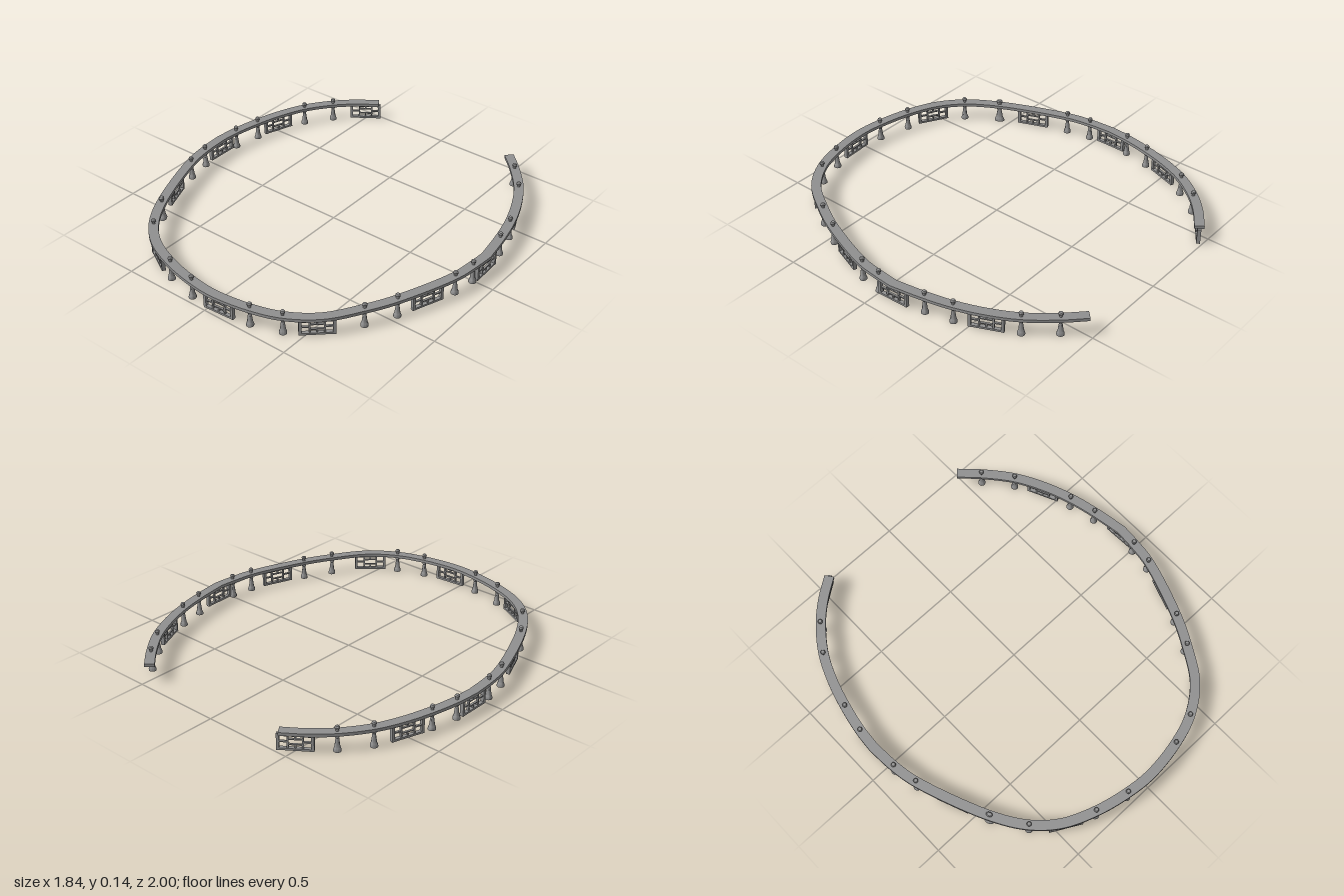
import * as THREE from 'three';
import { toCreasedNormals } from 'three/addons/utils/BufferGeometryUtils.js';

const material = new THREE.MeshStandardMaterial({ color: 0x909090 });

// Post positions [x, z], in order along the handrail
const POSTS = [
  [-0.645, -0.805], [-0.745, -0.667], [-0.853, -0.37], [-0.883, -0.215],
  [-0.883, 0.043], [-0.857, 0.18], [-0.705, 0.565], [-0.593, 0.738],
  [-0.298, 0.918], [-0.117, 0.96], [0.245, 0.946], [0.407, 0.892],
  [0.672, 0.612], [0.752, 0.458], [0.866, 0.14], [0.885, 0.007],
  [0.863, -0.272], [0.826, -0.423], [0.688, -0.725], [0.572, -0.868],
];
const KINK_L = [-0.893, -0.1], KINK_R = [0.893, -0.095];

// Lattice panel centres [x, z]
const PANELS = [
  [-0.497, -0.932], [-0.815, -0.505], KINK_L, [-0.787, 0.38], [-0.45, 0.852],
  [0.075, 0.973], [0.537, 0.8], [0.815, 0.3], KINK_R, [0.768, -0.578],
];

// Centre line: three smooth runs that meet at two slight kinks
function centreLine() {
  const runs = [
    [[-0.437, -0.978], [-0.548, -0.898], ...POSTS.slice(0, 2), [-0.809, -0.522],
      ...POSTS.slice(2, 4), KINK_L],
    [KINK_L, ...POSTS.slice(4, 8), [-0.468, 0.845], ...POSTS.slice(8, 10), [0.04, 0.973],
      ...POSTS.slice(10, 12), [0.555, 0.785], ...POSTS.slice(12, 16), KINK_R],
    [KINK_R, ...POSTS.slice(16, 18), [0.767, -0.579], ...POSTS.slice(18), [0.478, -0.962]],
  ];
  const line = [];
  runs.forEach((run, r) => {
    const curve = new THREE.CatmullRomCurve3(run.map(([x, z]) => new THREE.Vector3(x, 0, z)));
    const pts = curve.getSpacedPoints(r === 1 ? 480 : 160);
    line.push(...(r ? pts.slice(1) : pts));
  });
  return line;
}

const tangentAt = (line, i) => line[Math.min(i + 1, line.length - 1)].clone()
  .sub(line[Math.max(i - 1, 0)]).normalize();

// Rectangular section swept along the line, closed at both ends
function sweep(line, halfWidth, y0, y1) {
  const section = [[-halfWidth, y0], [halfWidth, y0], [halfWidth, y1], [-halfWidth, y1]];
  const pos = [], index = [];
  line.forEach((p, i) => {
    const t = tangentAt(line, i);
    for (const [s, y] of section) pos.push(p.x + t.z * s, y, p.z - t.x * s);
    if (i === 0) return;
    for (let j = 0; j < 4; j++) {
      const k = (j + 1) % 4, a = (i - 1) * 4, b = i * 4;
      index.push(a + j, a + k, b + k, a + j, b + k, b + j);
    }
  });
  const e = (line.length - 1) * 4;
  index.push(0, 2, 1, 0, 3, 2, e, e + 1, e + 2, e, e + 2, e + 3);
  const geo = new THREE.BufferGeometry();
  geo.setAttribute('position', new THREE.Float32BufferAttribute(pos, 3));
  geo.setIndex(index);
  return toCreasedNormals(geo, 0.6);
}

// Turned post: flared foot, slim shaft through the rail, round finial
function postGeometry() {
  const profile = [
    [0, 0], [0.02, 0], [0.02, 0.008], [0.016, 0.02], [0.014, 0.024], [0.0125, 0.04],
    [0.009, 0.066], [0.0085, 0.072], [0.0115, 0.076], [0.0115, 0.082], [0.008, 0.088],
    [0.008, 0.117], [0.012, 0.122], [0.013, 0.129], [0.009, 0.135], [0, 0.138],
  ].map(([r, y]) => new THREE.Vector2(r, y));
  return toCreasedNormals(new THREE.LatheGeometry(profile, 12), 0.7);
}

// Lattice panel bars: [x, y, width, height, depth]
const BARS = [
  [0, 0.011, 0.178, 0.011, 0.02], [0, 0.087, 0.178, 0.012, 0.02],
  [-0.082, 0.049, 0.014, 0.088, 0.02], [0.082, 0.049, 0.014, 0.088, 0.02],
];
for (const s of [-1, 1]) {
  BARS.push([s * 0.036, 0.049, 0.008, 0.066, 0.012]);      // inner upright
  BARS.push([s * 0.055, 0.049, 0.04, 0.007, 0.011]);       // side tie
  BARS.push([0, 0.049 + s * 0.014, 0.072, 0.006, 0.011]);  // central crossbars
  BARS.push([0, 0.049 + s * 0.025, 0.008, 0.018, 0.01]);   // short centre struts
}

function latticePanel() {
  const panel = new THREE.Group();
  panel.name = 'latticePanel';
  BARS.forEach(([x, y, w, h, d], i) => {
    const bar = new THREE.Mesh(new THREE.BoxGeometry(w, h, d), material);
    bar.name = i < 4 ? 'panelFrame' : 'panelBar';
    bar.position.set(x, y, 0);
    panel.add(bar);
  });
  return panel;
}

export function createModel() {
  const model = new THREE.Group();
  model.name = 'curvedBalustrade';
  const line = centreLine();

  const rail = new THREE.Mesh(sweep(line, 0.026, 0.092, 0.109), material);
  rail.name = 'handrail';
  model.add(rail);

  // Puts an object on the nearest point of the centre line, turned along it
  const place = (object, [x, z]) => {
    const target = new THREE.Vector3(x, 0, z);
    let best = 0;
    line.forEach((p, i) => {
      if (p.distanceTo(target) < line[best].distanceTo(target)) best = i;
    });
    const t = tangentAt(line, best);
    object.position.copy(line[best]);
    object.rotation.y = Math.atan2(-t.z, t.x);
    model.add(object);
  };

  // Posts; one is longer along the rail
  const geo = postGeometry();
  POSTS.forEach((spot, i) => {
    const post = new THREE.Mesh(geo, material);
    post.name = 'post';
    if (i === 6) post.scale.x = 1.4;
    place(post, spot);
  });

  // Panels in the wide gaps and at the open left end
  PANELS.forEach((spot) => place(latticePanel(), spot));
  return model;
}
